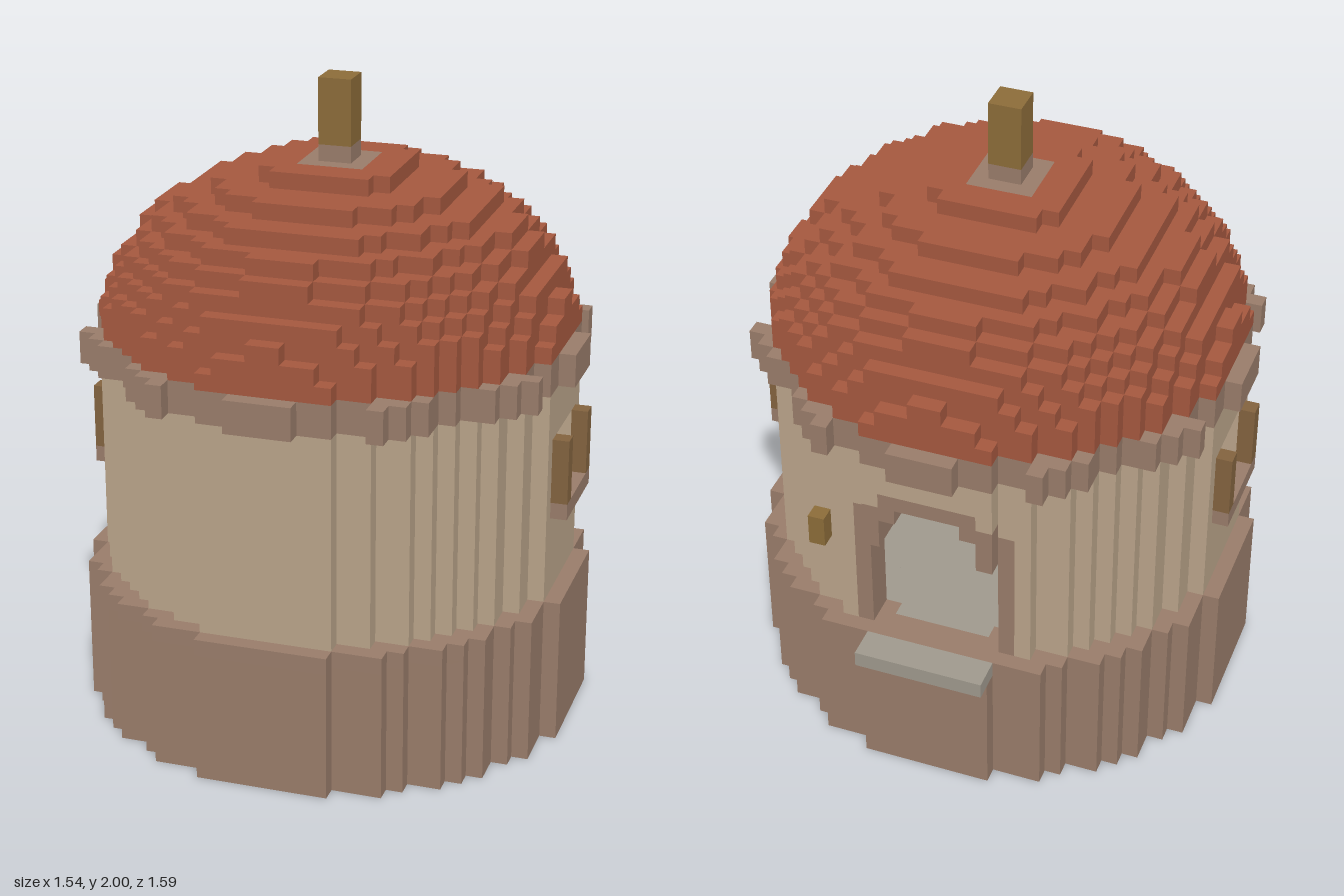
import * as THREE from 'three';
import { mergeGeometries } from 'three/addons/utils/BufferGeometryUtils.js';

const V = 2 / 39;        // edge of one block
const Z0 = V / 2;        // tower axis sits half a block forward

const material = (name, color) => {
  const m = new THREE.MeshStandardMaterial({ color });
  m.name = name;
  return m;
};

// box given by its block coordinates, measured from the tower axis
function block(x0, x1, y0, y1, z0, z1) {
  return new THREE.BoxGeometry((x1 - x0) * V, (y1 - y0) * V, (z1 - z0) * V)
    .translate((x0 + x1) / 2 * V, (y0 + y1) / 2 * V, (z0 + z1) / 2 * V + Z0);
}

// slab of blocks wherever test(x, z) holds, joined into runs along x
function slab(y0, y1, test) {
  const out = [];
  for (let z = -15; z < 15; z++) {
    let start = null;
    for (let x = -15; x <= 15; x++) {
      const solid = x < 15 && test(x + 0.5, z + 0.5);
      if (solid && start === null) start = x;
      if (!solid && start !== null) {
        out.push(block(start, x, y0, y1, z, z + 1));
        start = null;
      }
    }
  }
  return out;
}

const ring = (x, z, inner, outer) => {
  const d = x * x + z * z;
  return d < outer * outer && d >= inner * inner;
};

export function createModel() {
  const group = new THREE.Group();
  const stone = material('brown stone', 0x997c6a);
  const plaster = material('tan plaster', 0xbaa48a);
  const tile = material('red roof tile', 0xa5583f);
  const slate = material('grey stone', 0x9f998d);
  const timber = material('dark timber', 0x83633f);
  const gold = material('golden wood', 0x8c6c39);

  const add = (name, mat, boxes) => {
    const mesh = new THREE.Mesh(mergeGeometries(boxes), mat);
    mesh.name = name;
    group.add(mesh);
  };

  // Base, with the grey floor set into its top layer
  const inStep = (x, z) => z < -14 && Math.abs(x) < 4;
  add('base', stone, [
    ...slab(0, 8, (x, z) => ring(x, z, 0, 15)),
    ...slab(8, 9, (x, z) => ring(x, z, 12, 15) && !inStep(x, z)),
  ]);
  add('floor', slate, slab(8, 9, (x, z) => ring(x, z, 0, 12)));
  add('doorStep', slate, [block(-4, 4, 8, 9, -16, -14)]);

  // Arched doorway: half width of the opening and of its stone surround
  const opening = y => (y < 16 ? 4 : y < 18 ? 3 : y < 19 ? 2 : 0);
  const surround = y => (y < 18 ? 5 : y < 19 ? 4 : y < 20 ? 3 : 0);
  const inWindow = (y, z) => y >= 15 && y < 19 && Math.abs(z) < 2;

  // Wall, in bands between the heights where its plan changes
  const heights = [9, 15, 16, 18, 19, 20, 22];
  const wall = [], arch = [];
  for (let k = 0; k + 1 < heights.length; k++) {
    const y = heights[k], top = heights[k + 1];
    const inWall = (x, z) => ring(x, z, 12, 14) && !inWindow(y, z);
    const inArch = (x, z) => z < 0 && Math.abs(x) < surround(y);
    const inDoor = (x, z) => z < 0 && Math.abs(x) < opening(y);
    wall.push(...slab(y, top, (x, z) => inWall(x, z) && !inArch(x, z)));
    arch.push(...slab(y, top, (x, z) => inWall(x, z) && inArch(x, z) && !inDoor(x, z)));
  }
  add('wall', plaster, wall);
  add('doorSurround', stone, arch);

  // Cornice with twelve projecting blocks
  add('cornice', stone, slab(22, 24, (x, z) =>
    ring(x, z, 12, 14) || (ring(x, z, 14, 15) && Math.cos(12 * Math.atan2(z, x)) > 0)));

  // Hollow stepped dome
  const dome = [];
  const inCap = (x, z) => Math.abs(x) < 2 && Math.abs(z) < 2;
  for (let k = 0; k < 10; k++) {
    const t = k + 0.5;
    const outer = 14 * Math.sqrt(1 - (t / 10) ** 2);
    const inner = 12 * Math.sqrt(Math.max(0, 1 - (t / 8.5) ** 2));
    dome.push(...slab(24 + k, 25 + k, (x, z) =>
      ring(x, z, inner, outer) && !(k === 9 && inCap(x, z))));
  }
  add('dome', tile, dome);

  // Stone cap and post on the summit
  add('domeCap', stone, [block(-2, 2, 33, 34, -2, 2), block(-1, 1, 34, 35, -1, 1)]);
  add('post', gold, [block(-1, 1, 35, 39, -1, 1)]);

  // Window shutters and sills on both sides
  for (const [side, x] of [['left', 14], ['right', -15]]) {
    add(side + 'Shutters', timber, [-3, 2].map(z => block(x, x + 1, 15, 19, z, z + 1)));
    add(side + 'Sill', stone, [block(x, x + 1, 14, 15, -3, 3)]);
  }

  // Lantern beside the door
  add('lantern', gold, [block(6, 7, 16, 18, -15, -14)]);

  return group;
}
